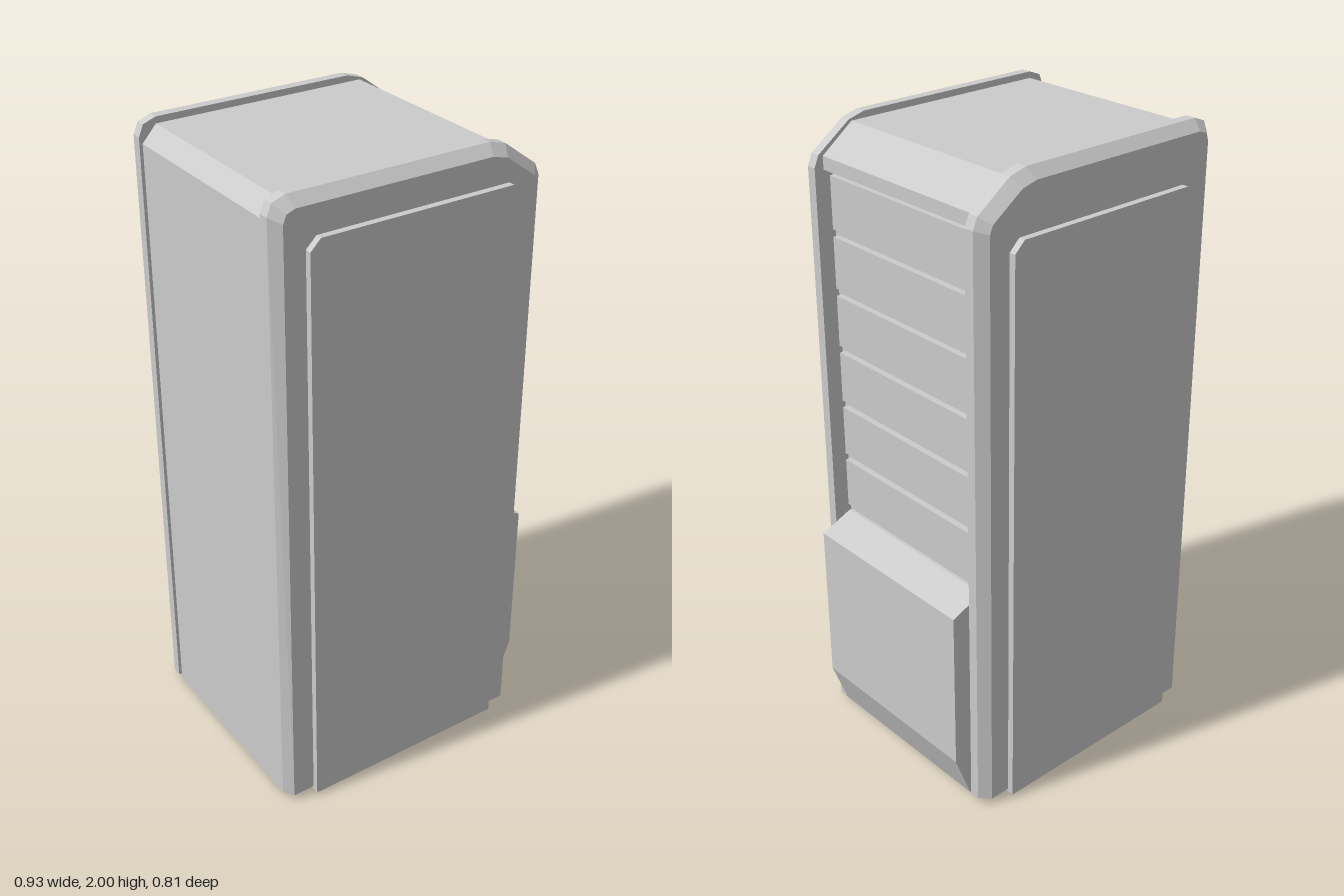
import * as THREE from 'three';

const material = new THREE.MeshStandardMaterial({ color: 0xcccccc, flatShading: true });
const shellMaterial = new THREE.MeshStandardMaterial({ color: 0xcccccc, flatShading: true, side: THREE.DoubleSide });

// Lofts counter-clockwise xy outlines placed at rising z; openBottom skips the closing edge.
function loft(rings, openBottom = false) {
  const n = rings[0].points.length;
  const positions = [];
  const index = [];
  for (const { points, z } of rings) for (const [x, y] of points) positions.push(x, y, z);
  for (let r = 0; r < rings.length - 1; r++) {
    for (let i = 0; i < (openBottom ? n - 1 : n); i++) {
      const a = r * n + i, b = r * n + (i + 1) % n;
      index.push(a, b, b + n, a, b + n, a + n);
    }
  }
  const outline = rings[0].points.map(([x, y]) => new THREE.Vector2(x, y));
  const last = (rings.length - 1) * n;
  for (const [a, b, c] of THREE.ShapeUtils.triangulateShape(outline, [])) {
    index.push(a, c, b, last + a, last + b, last + c);
  }
  const indexed = new THREE.BufferGeometry();
  indexed.setAttribute('position', new THREE.Float32BufferAttribute(positions, 3));
  indexed.setIndex(index);
  const geometry = indexed.toNonIndexed();
  geometry.computeVertexNormals();
  return geometry;
}

const prism = (points, z0, z1, openBottom) =>
  loft([{ points, z: z0 }, { points, z: z1 }], openBottom);

export function createModel() {
  const model = new THREE.Group();
  const add = (name, geometry, mat = material) => {
    const mesh = new THREE.Mesh(geometry, mat);
    mesh.name = name;
    model.add(mesh);
    return mesh;
  };

  // Hollow cabinet, open underneath, with an overhanging sloped brow
  add('cabinetBody', prism([
    [0.35, 0], [0.35, 1.86], [0.38, 1.86], [0.38, 1.9], [0.275, 1.98],
    [-0.41, 1.98], [-0.455, 1.93], [-0.455, 0],
  ], -0.32, 0.32, true), shellMaterial);

  // Side frames with a bevelled outer rim
  const outer = [
    [0.41, 0.02], [0.41, 1.87], [0.395, 1.905], [0.285, 1.985], [0.23, 2],
    [-0.41, 2], [-0.45, 1.985], [-0.465, 1.95], [-0.465, 0.02],
  ];
  const inner = [
    [0.38, 0.02], [0.38, 1.86], [0.37, 1.885], [0.27, 1.957], [0.22, 1.97],
    [-0.4, 1.97], [-0.427, 1.96], [-0.437, 1.935], [-0.443, 0.02],
  ];
  add('leftSideFrame', loft([
    { points: outer, z: 0.32 }, { points: outer, z: 0.352 }, { points: inner, z: 0.383 },
  ]));
  add('rightSideFrame', loft([
    { points: inner, z: -0.383 }, { points: outer, z: -0.352 }, { points: outer, z: -0.32 },
  ]));

  // Raised side panels with clipped upper corners
  const panel = (top) => [
    [0.313, 0.01], [0.313, top - 0.032], [0.28, top], [-0.34, top], [-0.372, top - 0.032], [-0.372, 0.01],
  ];
  add('leftSidePanel', prism(panel(1.885), 0.37, 0.404));
  add('rightSidePanel', prism(panel(1.83), -0.404, -0.37));

  // Row of shelf fronts
  for (let i = 0; i < 6; i++) {
    const slat = add('shelfFront', new THREE.BoxGeometry(0.04, 0.16, 0.61));
    slat.position.set(0.35, 0.85 + i * 0.183, 0);
  }

  // Projecting collection bin
  add('collectionBin', prism([
    [0.34, 0.02], [0.41, 0.02], [0.465, 0.17], [0.465, 0.695], [0.36, 0.74], [0.34, 0.74],
  ], -0.315, 0.315));

  return model;
}
